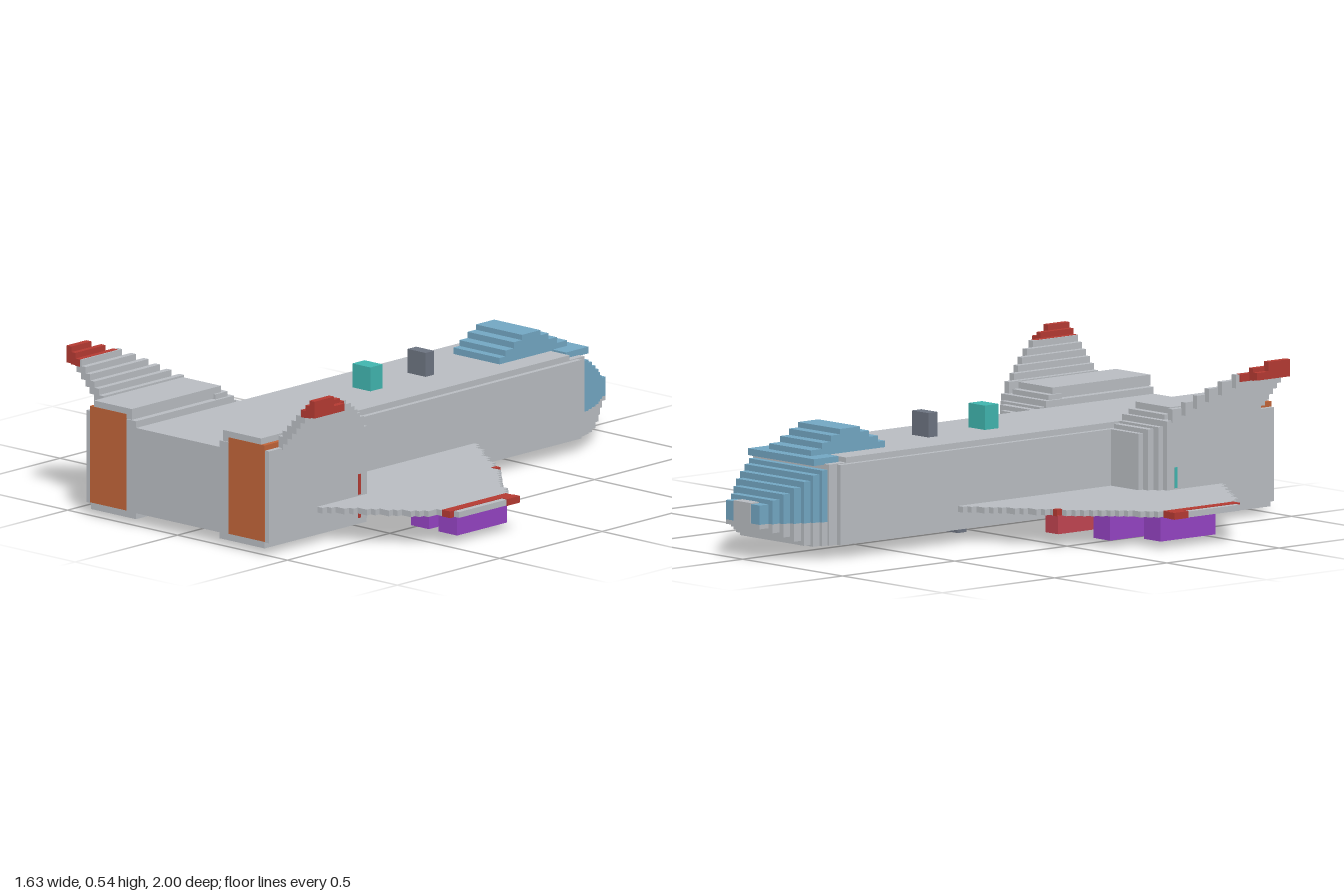
import * as THREE from 'three';

const mat = (name, color) => {
  const m = new THREE.MeshStandardMaterial({ color });
  m.name = name;
  return m;
};

export function createModel() {
  const root = new THREE.Group();
  root.name = 'spacePlane';
  const grey = mat('hullGrey', 0xb8bcc1);
  const blue = mat('glassBlue', 0x72a6c2);
  const orange = mat('engineOrange', 0xc06438);
  const red = mat('trimRed', 0xb43a32);
  const rose = mat('missileRed', 0xc04450);
  const purple = mat('bombPurple', 0x9443c2);
  const teal = mat('beaconTeal', 0x40b4ae);
  const dark = mat('gearGrey', 0x6c7380);

  // Box given by its limits on each axis
  function box(name, m, x0, x1, y0, y1, z0, z1) {
    const mesh = new THREE.Mesh(new THREE.BoxGeometry(Math.abs(x1 - x0), y1 - y0, z1 - z0), m);
    mesh.position.set((x0 + x1) / 2, (y0 + y1) / 2, (z0 + z1) / 2);
    mesh.name = name;
    root.add(mesh);
    return mesh;
  }
  const mid = (name, m, w, y0, y1, z0, z1) => box(name, m, -w, w, y0, y1, z0, z1);
  function pair(name, m, x0, x1, y0, y1, z0, z1) {
    box(name + 'Left', m, x0, x1, y0, y1, z0, z1);
    box(name + 'Right', m, -x0, -x1, y0, y1, z0, z1);
  }

  // Fuselage with stepped edges
  mid('fuselageCore', grey, 0.19, 0.042, 0.335, -0.71, 0.998);
  mid('fuselageSides', grey, 0.208, 0.045, 0.315, -0.75, 0.996);
  mid('fuselageFront', grey, 0.19, 0.045, 0.318, -0.785, -0.71);

  // Nose slices: front z, half width, top, bottom
  const nose = [
    [-1, 0.085, 0.19, 0.11], [-0.96, 0.105, 0.205, 0.095], [-0.93, 0.125, 0.225, 0.08],
    [-0.9, 0.145, 0.245, 0.065], [-0.87, 0.16, 0.265, 0.05], [-0.84, 0.172, 0.285, 0.045],
    [-0.81, 0.183, 0.3, 0.045],
  ];
  nose.forEach(([z, w, top, bottom], i) => {
    const end = i < nose.length - 1 ? nose[i + 1][0] : -0.785;
    mid('noseGlass' + i, blue, w, 0.125, top, z, end);
    mid('noseKeel' + i, grey, w, bottom, 0.125, z, end);
  });
  mid('noseTip', grey, 0.042, 0.125, 0.194, -1.003, -0.965);

  // Canopy: half width, bottom, top, front and back z
  [
    [0.165, 0.315, 0.338, -0.83, -0.72], [0.105, 0.33, 0.357, -0.79, -0.46],
    [0.105, 0.357, 0.377, -0.74, -0.49], [0.105, 0.377, 0.398, -0.7, -0.53],
    [0.105, 0.398, 0.416, -0.66, -0.57],
  ].forEach((c, i) => mid('canopy' + i, blue, ...c));

  // Engine pods: stepped intake fronts, raised cap, side shell, orange exhaust
  pair('podCap', grey, 0.208, 0.38, 0.36, 0.397, 0.565, 1);
  pair('podBody', grey, 0.19, 0.395, 0.022, 0.358, 0.52, 0.999);
  pair('podShell', grey, 0.39, 0.415, 0.042, 0.358, 0.52, 0.998);
  pair('podShoulder', grey, 0.2, 0.38, 0.315, 0.375, 0.54, 0.6);
  pair('intakeStepA', grey, 0.2, 0.395, 0.022, 0.338, 0.5, 0.54);
  pair('intakeStepB', grey, 0.2, 0.37, 0.03, 0.33, 0.475, 0.52);
  pair('intakeStepC', grey, 0.2, 0.345, 0.042, 0.315, 0.455, 0.5);
  pair('exhaust', orange, 0.232, 0.397, 0.045, 0.376, 0.765, 1.001);

  // Position lights on the pod sides
  [[0.05, 0.105], [0.13, 0.2]].forEach(([y0, y1], i) => {
    box('podLightLeft' + i, red, 0.412, 0.418, y0, y1, 0.553, 0.565);
    box('podLightRight' + i, teal, -0.418, -0.412, y0, y1, 0.553, 0.565);
  });

  // Wing leading and trailing edges as z for each x, cut into small steps
  const leading = [[0.18, -0.25], [0.48, -0.04], [0.75, 0.2], [0.82, 0.2]];
  const trailing = [[0.18, 0.77], [0.41, 0.77], [0.52, 0.69], [0.7, 0.58], [0.755, 0.5], [0.82, 0.5]];
  const at = (line, x) => {
    const k = Math.max(1, line.findIndex((p) => p[0] >= x));
    const [a, b] = [line[k - 1], line[k]];
    return a[1] + ((b[1] - a[1]) * (x - a[0])) / (b[0] - a[0]);
  };
  const step = 0.0206;
  const snap = (z) => Math.round(z / step) * step;
  const front = [], back = [];
  for (let i = 0; i < 30; i++) {
    const x0 = 0.192 + i * step, x1 = x0 + step, xm = (x0 + x1) / 2;
    const zf = snap(at(leading, xm)), zb = snap(at(trailing, xm));
    front.push([x0, zf], [x1, zf]);
    back.unshift([x1, zb], [x0, zb]);
  }
  for (const s of [1, -1]) {
    const outline = new THREE.Shape([...front, ...back].map(([x, z]) => new THREE.Vector2(s * x, -z)));
    const geo = new THREE.ExtrudeGeometry(outline, { depth: 0.02, bevelEnabled: false });
    geo.rotateX(-Math.PI / 2);
    const wing = new THREE.Mesh(geo, grey);
    wing.position.y = 0.105;
    wing.name = s > 0 ? 'wingLeft' : 'wingRight';
    root.add(wing);
  }
  pair('wingStripe', red, 0.752, 0.788, 0.104, 0.127, 0.205, 0.515);
  pair('wingTipLight', red, 0.785, 0.813, 0.104, 0.127, 0.2, 0.262);
  pair('wingEdgeLight', red, 0.478, 0.497, 0.104, 0.127, -0.043, -0.02);

  // Canted tail fins climbing outward in steps
  const finFront = [0.54, 0.58, 0.615, 0.65, 0.69, 0.735];
  finFront.forEach((z, i) => {
    const x = 0.398 + i * 0.02, y = 0.352 + i * 0.0215;
    pair('fin' + i, grey, x, x + 0.022, y, y + 0.045, z, 0.935);
  });
  pair('finTipA', red, 0.503, 0.525, 0.48, 0.505, 0.75, 0.937);
  pair('finTipB', red, 0.523, 0.543, 0.482, 0.524, 0.79, 0.937);
  pair('finTipC', red, 0.541, 0.564, 0.485, 0.543, 0.84, 0.937);
  pair('finTipEdge', red, 0.541, 0.564, 0.485, 0.51, 0.79, 0.84);

  // Stores under the wings
  pair('missile', rose, 0.437, 0.5, 0.044, 0.106, -0.04, 0.17);
  pair('innerBomb', purple, 0.54, 0.622, 0.024, 0.106, 0.083, 0.44);
  pair('outerBomb', purple, 0.666, 0.75, 0.024, 0.106, 0.195, 0.44);

  // Beacon, aerials and landing gear doors
  mid('beacon', teal, 0.041, 0.33, 0.417, 0.042, 0.102);
  mid('topAerial', dark, 0.041, 0.33, 0.417, -0.21, -0.168);
  mid('bellyAerial', dark, 0.041, 0, 0.045, -0.08, -0.04);
  mid('noseGearDoor', dark, 0.083, 0.036, 0.046, -0.58, -0.38);
  pair('mainGearDoor', dark, 0.063, 0.208, 0.021, 0.046, 0.465, 0.68);

  return root;
}
